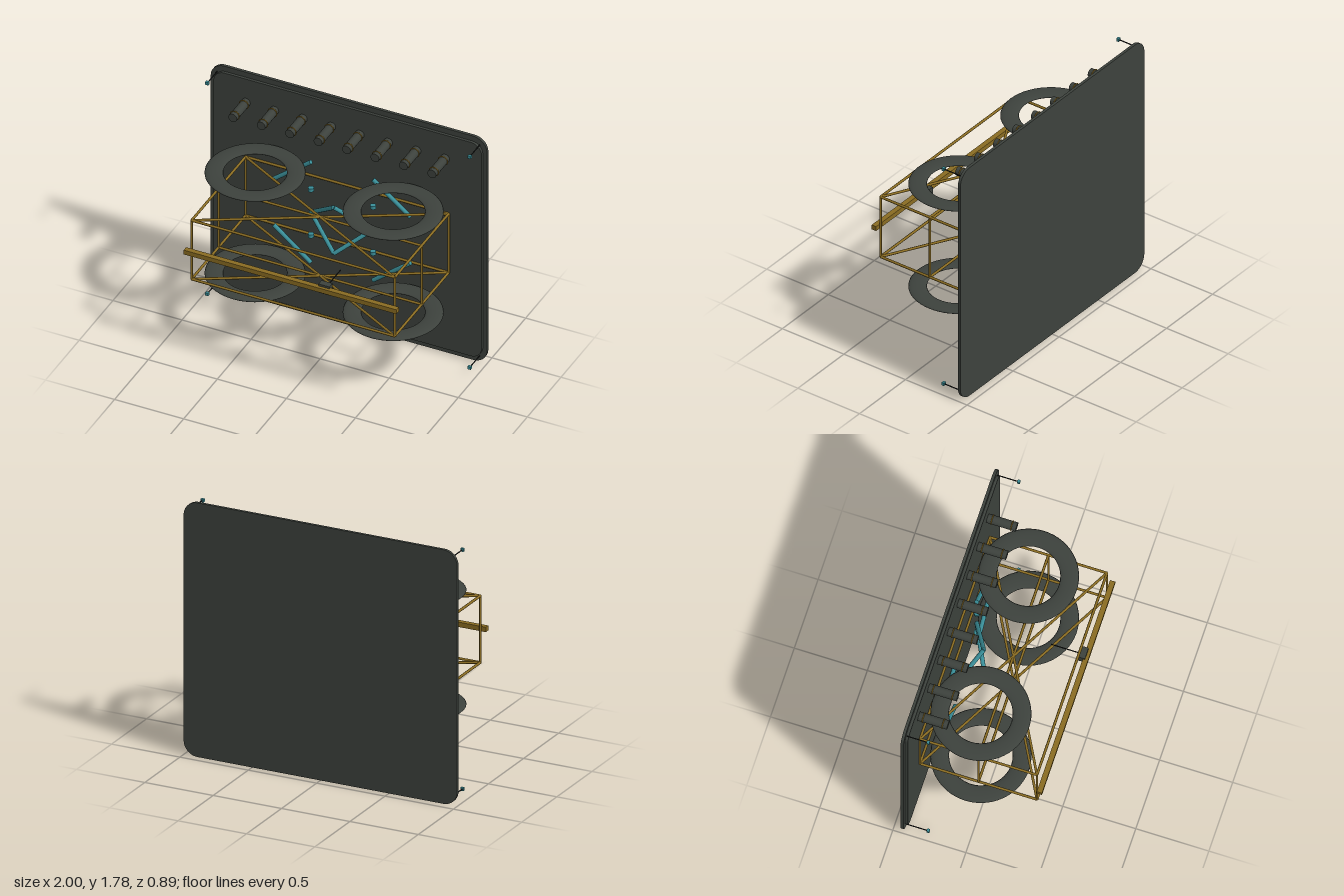
import * as THREE from 'three';

const mat = (name, color, extra = {}) => Object.assign(new THREE.MeshStandardMaterial({ color }), { name });

export function createModel() {
  const charcoal = mat('charcoal', 0x3d423d);
  const gold = mat('old gold', 0x8a6c22);
  const teal = mat('teal', 0x3a8f99);
  const black = mat('black', 0x1c1e1d);

  const model = new THREE.Group();
  model.name = 'wallRig';
  const V = (x, y, z) => new THREE.Vector3(x, y, z);

  const add = (name, geo, material, x = 0, y = 0, z = 0) => {
    const mesh = new THREE.Mesh(geo, material);
    mesh.name = name;
    mesh.position.set(x, y, z);
    model.add(mesh);
    return mesh;
  };

  // straight round rod between two points
  const rod = (name, a, b, r, material, sides = 8) => {
    const mesh = add(name, new THREE.CylinderGeometry(r, r, a.distanceTo(b), sides), material);
    mesh.position.copy(a).add(b).multiplyScalar(0.5);
    mesh.quaternion.setFromUnitVectors(V(0, 1, 0), b.clone().sub(a).normalize());
    return mesh;
  };

  // rounded slab standing on the back side
  const slab = (name, w, h, r, depth, z) => {
    const s = new THREE.Shape();
    const x = w / 2, y = h / 2;
    s.moveTo(-x + r, -y);
    s.lineTo(x - r, -y);
    s.absarc(x - r, -y + r, r, -Math.PI / 2, 0);
    s.lineTo(x, y - r);
    s.absarc(x - r, y - r, r, 0, Math.PI / 2);
    s.lineTo(-x + r, y);
    s.absarc(-x + r, y - r, r, Math.PI / 2, Math.PI);
    s.lineTo(-x, -y + r);
    s.absarc(-x + r, -y + r, r, Math.PI, Math.PI * 1.5);
    const geo = new THREE.ExtrudeGeometry(s, { depth, bevelEnabled: false, curveSegments: 8 });
    add(name, geo, charcoal, 0, 0.89, z);
  };
  slab('backPanel', 2, 1.78, 0.1, 0.02, -0.446);
  slab('panelFace', 1.94, 1.7, 0.08, 0.02, -0.427);

  // row of banded pegs
  for (let i = 0; i < 8; i++) {
    const x = -0.735 + i * 0.206, y = 1.557;
    rod('peg', V(x, y, -0.415), V(x, y, -0.207), 0.031, charcoal, 20);
    for (const z of [-0.24, -0.375])
      add('pegBand', new THREE.TorusGeometry(0.032, 0.004, 6, 24), gold, x, y, z);
  }

  // truss frame: corner and mid posts, rails, crossed braces
  const X = 0.735, Z = 0.4, LOW = 0.66, HIGH = 1.127, R = 0.009;
  for (const x of [-X, X])
    for (const z of [-Z, 0, Z]) rod('framePost', V(x, LOW, z), V(x, HIGH, z), 0.008, gold);
  for (const y of [LOW, HIGH]) {
    for (const z of [-Z, 0, Z]) rod('frameRail', V(-X, y, z), V(X, y, z), R, gold);
    for (const x of [-X, X]) rod('frameSideRail', V(x, y, -Z), V(x, y, Z), R, gold);
    for (const s of [-1, 1]) rod('frameBrace', V(-X, y, -Z * s), V(X, y, Z * s), R, gold);
  }

  // front beam with sliding carriage and needle
  add('frontBeam', new THREE.BoxGeometry(1.54, 0.034, 0.036), gold, 0, 0.892, 0.428);
  add('carriage', new THREE.BoxGeometry(0.08, 0.068, 0.046), charcoal, 0.235, 0.891, 0.402);
  rod('needle', V(0.235, 0.891, 0.39), V(0.235, 0.891, 0.18), 0.004, black);

  // flattened rings above and below the frame
  for (const x of [-0.5, 0.5])
    for (const y of [0.49, 1.29]) {
      const geo = new THREE.TorusGeometry(0.268, 0.061, 14, 56).rotateX(Math.PI / 2).scale(1, 0.21, 1);
      add('ring', geo, charcoal, x, y, -0.06);
    }

  // linkage: central diamond, outer arms and pivots
  const ZL = -0.325;
  for (const sx of [-1, 1])
    for (const sy of [-1, 1]) {
      const y = 0.892 + sy * 0.183;
      rod('diamondArm', V(0, y, -0.203), V(sx * 0.225, 0.892, ZL), 0.015, teal, 10);
      rod('outerArm', V(sx * 0.495, y, ZL), V(sx * 0.225, 0.89 + sy * 0.4, ZL), 0.015, teal, 10);
      add('pivot', new THREE.CylinderGeometry(0.02, 0.02, 0.025, 10), teal, sx * 0.225, y, ZL);
    }

  // corner pins with small tips
  for (const x of [-0.95, 0.95])
    for (const y of [0.052, 1.728]) {
      rod('cornerPin', V(x, y, -0.42), V(x, y, -0.275), 0.004, black);
      add('pinTip', new THREE.BoxGeometry(0.022, 0.022, 0.018), teal, x, y, -0.273);
    }

  return model;
}
